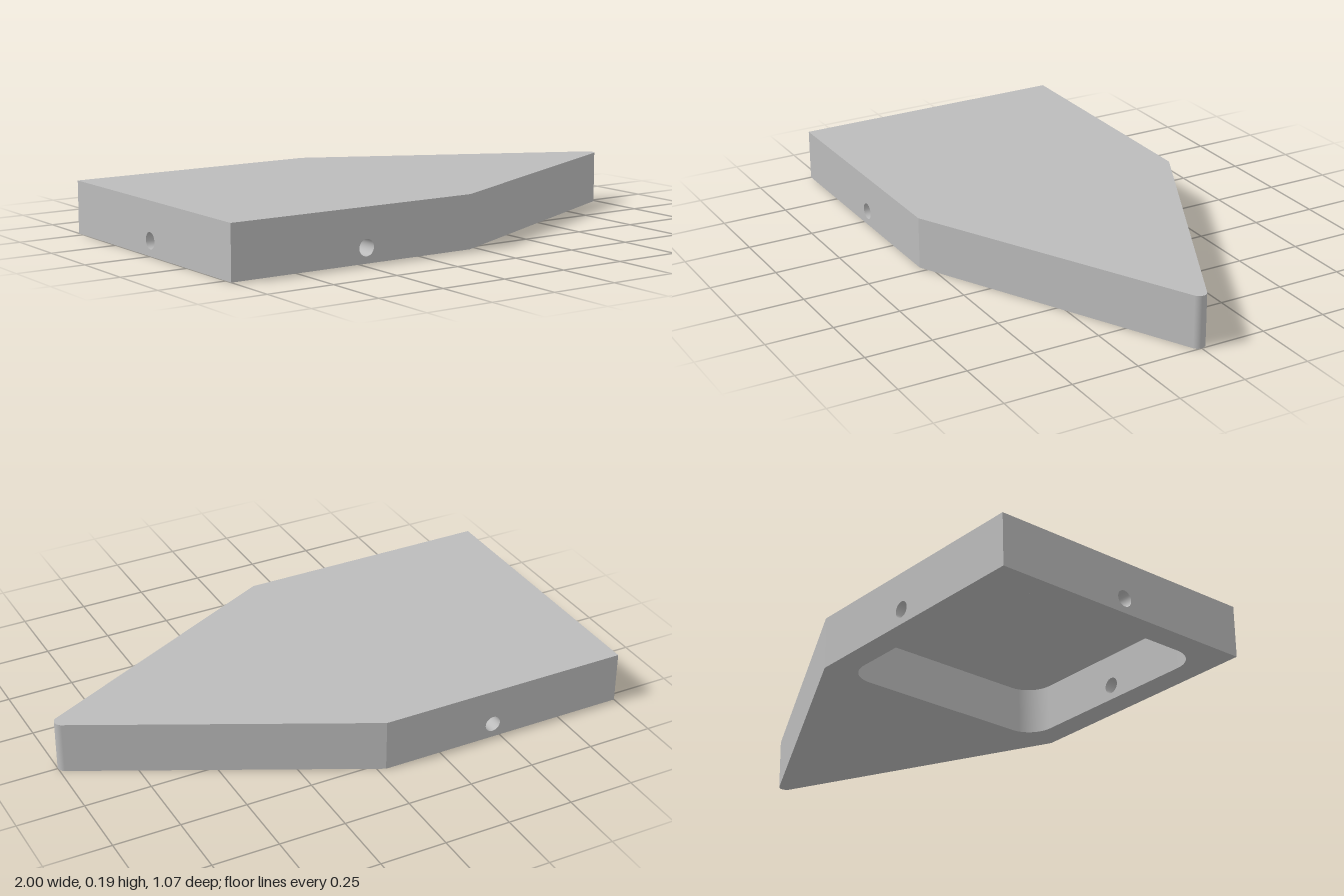
import * as THREE from 'three';

const HEIGHT = 0.195, HALF_W = 0.533, SHOULDER = -0.03; // outer body
const TIP_R = 0.028, TIP_X = 1 - TIP_R, TIP_ANGLE = Math.atan(2); // rounded nose
const POCKET_X = -0.469, POCKET = 0.437, POCKET_R = 0.1, DEPTH = 0.175; // recess underneath
const HOLE_R = 0.03, HOLE_Y = 0.055; // drilled side holes

export function createModel() {
  const model = new THREE.Group();
  // the shell is made of open surfaces
  const grey = new THREE.MeshStandardMaterial({ color: 0xbcbcbc, side: THREE.DoubleSide });

  const add = (name, geometry) => {
    const mesh = new THREE.Mesh(geometry, grey);
    mesh.name = name;
    model.add(mesh);
    return mesh;
  };

  // upright panel from a to b ([x, z]), facing right of travel, with an optional hole
  const wall = (name, a, b, height, holeAt) => {
    const dx = b[0] - a[0], dz = b[1] - a[1], length = Math.hypot(dx, dz);
    const shape = new THREE.Shape();
    shape.moveTo(0, 0).lineTo(length, 0).lineTo(length, height).lineTo(0, height);
    if (holeAt !== undefined) {
      shape.holes.push(new THREE.Path().absarc(holeAt, HOLE_Y, HOLE_R, 0, Math.PI * 2, true));
    }
    const mesh = add(name, new THREE.ShapeGeometry(shape, 16));
    mesh.position.set(a[0], 0, a[1]);
    mesh.rotation.y = Math.atan2(-dz, dx);
  };

  // upright quarter or nose curve
  const curve = (name, x, z, r, height, start, sweep) => {
    const geometry = new THREE.CylinderGeometry(r, r, height, 16, 1, true, start, sweep);
    add(name, geometry.translate(x, height / 2, z));
  };

  // flat horizontal face, shape y becomes -z
  const plate = (name, shape, y, faceUp) => {
    const geometry = new THREE.ShapeGeometry(shape, 16);
    if (!faceUp) geometry.scale(1, -1, 1); // outlines are symmetric
    geometry.rotateX(faceUp ? -Math.PI / 2 : Math.PI / 2);
    if (!faceUp) geometry.scale(1, 1, -1);
    add(name, geometry.translate(0, y, 0));
  };

  // outlines
  const noseX = TIP_X + TIP_R * Math.cos(TIP_ANGLE - 0.0);
  const noseZ = TIP_R * Math.sin(TIP_ANGLE);
  const outline = () => new THREE.Shape()
    .moveTo(-1, -HALF_W).lineTo(SHOULDER, -HALF_W).lineTo(noseX, -noseZ)
    .absarc(TIP_X, 0, TIP_R, -TIP_ANGLE, TIP_ANGLE, false)
    .lineTo(SHOULDER, HALF_W).lineTo(-1, HALF_W).closePath();
  const inner = POCKET - POCKET_R;
  const pocketOutline = (Type) => {
    const path = new Type();
    [[1, 1], [-1, 1], [-1, -1], [1, -1]].forEach(([sx, sy], i) =>
      path.absarc(POCKET_X + sx * inner, sy * inner, POCKET_R, i * Math.PI / 2, (i + 1) * Math.PI / 2, false));
    path.closePath();
    return path;
  };

  // horizontal faces
  plate('topFace', outline(), HEIGHT, true);
  const rim = outline();
  rim.holes.push(pocketOutline(THREE.Path));
  plate('bottomRim', rim, 0, false);
  plate('pocketCeiling', pocketOutline(THREE.Shape), DEPTH, false);

  // outer walls and nose
  const holeAlong = POCKET_X + 1;
  wall('frontWall', [-1, HALF_W], [SHOULDER, HALF_W], HEIGHT, holeAlong);
  wall('frontTaper', [SHOULDER, HALF_W], [noseX, noseZ], HEIGHT);
  curve('nose', TIP_X, 0, TIP_R, HEIGHT, Math.PI / 2 - TIP_ANGLE, 2 * TIP_ANGLE);
  wall('backTaper', [noseX, -noseZ], [SHOULDER, -HALF_W], HEIGHT);
  wall('backWall', [SHOULDER, -HALF_W], [-1, -HALF_W], HEIGHT, SHOULDER - POCKET_X);
  wall('endWall', [-1, -HALF_W], [-1, HALF_W], HEIGHT, HALF_W);

  // pocket walls and rounded corners
  const x0 = POCKET_X - POCKET, x1 = POCKET_X + POCKET;
  const xi0 = POCKET_X - inner, xi1 = POCKET_X + inner;
  wall('pocketFrontWall', [xi1, POCKET], [xi0, POCKET], DEPTH, inner);
  wall('pocketBackWall', [xi0, -POCKET], [xi1, -POCKET], DEPTH, inner);
  wall('pocketEndWall', [x0, inner], [x0, -inner], DEPTH, inner);
  wall('pocketNoseWall', [x1, -inner], [x1, inner], DEPTH);
  [[1, 1], [1, -1], [-1, -1], [-1, 1]].forEach(([sx, sz], i) =>
    curve('pocketCorner', POCKET_X + sx * inner, sz * inner, POCKET_R, DEPTH, i * Math.PI / 2, Math.PI / 2));

  // bores joining the outer walls to the pocket
  const bore = (name, length, x, z, alongX) => {
    const geometry = new THREE.CylinderGeometry(HOLE_R, HOLE_R, length, 32, 1, true);
    if (alongX) geometry.rotateZ(Math.PI / 2);
    else geometry.rotateX(Math.PI / 2);
    add(name, geometry.translate(x, HOLE_Y, z));
  };
  const sideZ = (HALF_W + POCKET) / 2;
  for (const s of [1, -1]) bore(s > 0 ? 'frontBore' : 'backBore', HALF_W - POCKET, POCKET_X, s * sideZ, false);
  bore('endBore', x0 + 1, (x0 - 1) / 2, 0, true);

  return model;
}
